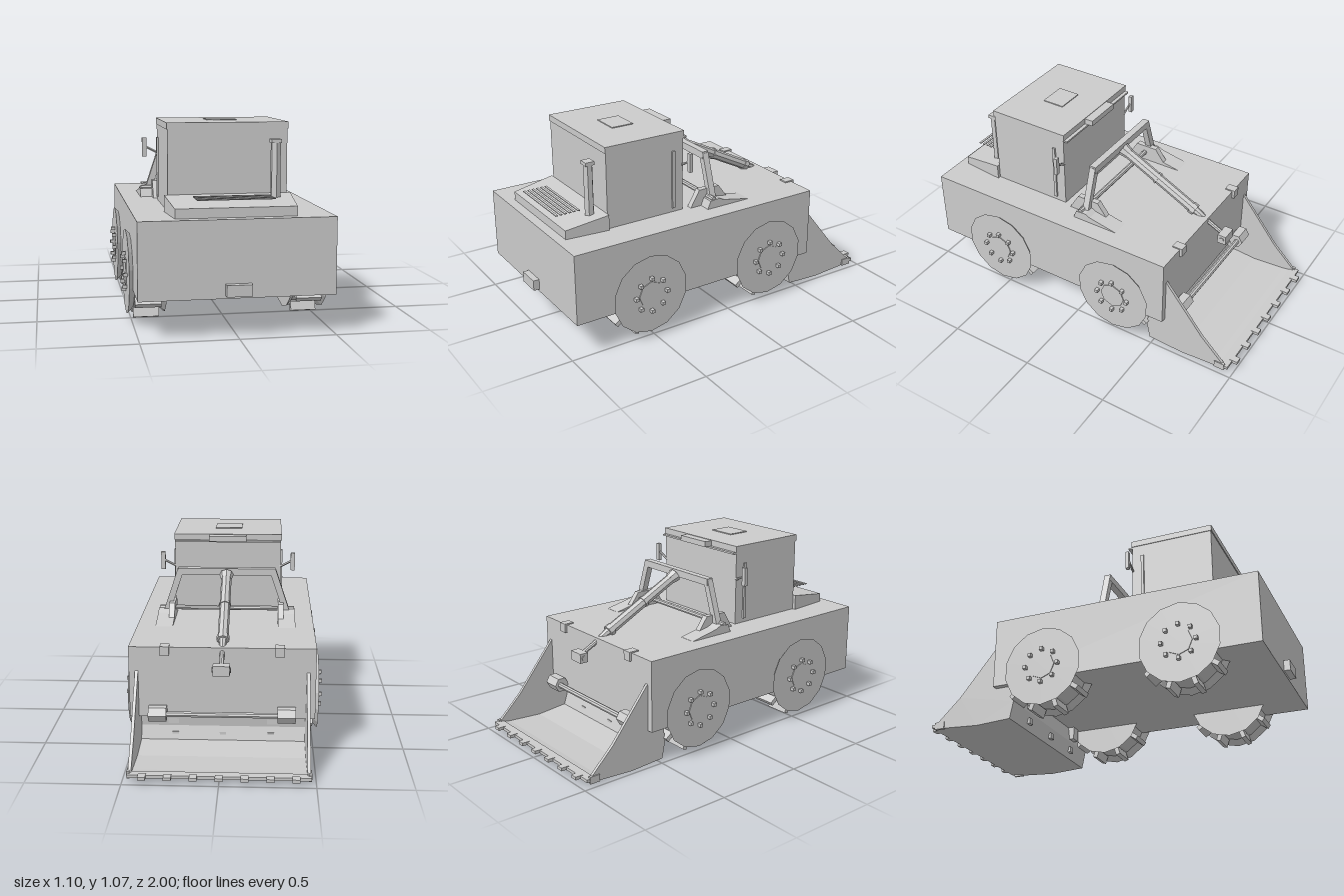
import * as THREE from 'three';

const paint = new THREE.MeshStandardMaterial({ color: 0xcccccc, flatShading: true });
paint.name = 'light grey';

export function createModel() {
  const model = new THREE.Group();
  model.name = 'bucketTractor';

  const add = (name, geometry, parent = model) => {
    const mesh = new THREE.Mesh(geometry, paint);
    mesh.name = name;
    parent.add(mesh);
    return mesh;
  };
  // box given by its limits on each axis
  const box = (name, x0, x1, y0, y1, z0, z1) => {
    const m = add(name, new THREE.BoxGeometry(x1 - x0, y1 - y0, z1 - z0));
    m.position.set((x0 + x1) / 2, (y0 + y1) / 2, (z0 + z1) / 2);
  };
  // same box on both sides, limits given for +x
  const pair = (name, x0, x1, ...rest) => {
    box(name + 'Left', x0, x1, ...rest);
    box(name + 'Right', -x1, -x0, ...rest);
  };
  // side profile of [z, y] points, extruded from x0 to x1
  const profile = (name, points, x0, x1) => {
    const shape = new THREE.Shape(points.map(p => new THREE.Vector2(...p)));
    const g = new THREE.ExtrudeGeometry(shape, { depth: x1 - x0, bevelEnabled: false });
    g.rotateY(-Math.PI / 2).translate(x1, 0, 0);
    add(name, g);
  };
  // rod between two points
  const rod = (name, a, b, r0, r1 = r0, sides = 8) => {
    const A = new THREE.Vector3(...a), B = new THREE.Vector3(...b), d = B.clone().sub(A);
    const m = add(name, new THREE.CylinderGeometry(r1, r0, d.length(), sides));
    m.position.copy(A).add(B).multiplyScalar(0.5);
    m.quaternion.setFromUnitVectors(new THREE.Vector3(0, 1, 0), d.normalize());
    return m;
  };

  // body
  box('body', -0.505, 0.505, 0.205, 0.605, -0.57, 0.965);
  box('rearHitch', -0.066, 0.066, 0.22, 0.28, 0.965, 1.0);
  pair('frontLamp', 0.285, 0.335, 0.56, 0.612, -0.585, -0.525);

  // cab
  box('cab', -0.316, 0.316, 0.605, 1.03, 0.19, 0.665);
  box('roof', -0.32, 0.32, 1.03, 1.065, 0.185, 0.67);
  box('roofHatch', -0.08, 0.08, 1.065, 1.07, 0.36, 0.49);
  box('visor', -0.315, 0.315, 1.02, 1.03, 0.165, 0.19);
  box('lightBar', -0.11, 0.11, 1.03, 1.062, 0.135, 0.187);
  pair('doorHandle', 0.315, 0.326, 0.63, 0.96, 0.245, 0.262);
  pair('mirror', 0.375, 0.4, 0.85, 0.955, 0.18, 0.2);
  for (const s of [1, -1]) rod('mirrorArm', [s * 0.31, 0.868, 0.193], [s * 0.38, 0.905, 0.193], 0.007, 0.007, 6);

  // sloping engine hood, wider toward the cab
  const hood = new THREE.BoxGeometry(2, 1, 1);
  const p = hood.attributes.position;
  for (let i = 0; i < p.count; i++) {
    const rear = p.getZ(i) > 0, top = p.getY(i) > 0;
    p.setXYZ(i, p.getX(i) * (rear ? 0.312 : 0.335), top ? (rear ? 0.655 : 0.692) : 0.605, rear ? 0.912 : 0.665);
  }
  add('engineHood', hood);
  for (let i = 0; i < 6; i++) {
    const z = 0.765 + i * 0.026;
    box('grilleSlat', -0.2, 0.2, 0.692, 0.697, z, z + 0.013);
  }
  rod('exhaust', [0.239, 0.66, 0.73], [0.239, 0.96, 0.73], 0.027, 0.027, 6);
  box('exhaustCap', 0.212, 0.266, 0.96, 0.98, 0.704, 0.756);

  // wheels: two flared rims around a lugged tread
  const wheel = (name, side, z) => {
    const g = new THREE.Group();
    g.name = name;
    const rim = [[0, 0.33], [0.225, 0.33], [0.195, 0.36], [0.195, 0.497], [0.227, 0.527], [0, 0.527]];
    add('tyre', new THREE.LatheGeometry(rim.map(q => new THREE.Vector2(...q)), 14), g);
    const hub = add('hub', new THREE.CylinderGeometry(0.075, 0.075, 0.01, 8), g);
    hub.position.y = 0.527;
    for (let i = 0; i < 10; i++) {
      const a = (i + 0.5) * Math.PI / 5;
      const lug = add('lug', new THREE.BoxGeometry(0.026, 0.137, 0.05), g);
      lug.position.set(Math.sin(a) * 0.222, 0.428, Math.cos(a) * 0.222);
      lug.rotation.y = a;
    }
    for (let i = 0; i < 8; i++) {
      const a = i * Math.PI / 4;
      const bolt = add('bolt', new THREE.BoxGeometry(0.019, 0.028, 0.019), g);
      bolt.position.set(Math.sin(a) * 0.097, 0.536, Math.cos(a) * 0.097);
    }
    // axle along x, lug gap at the bottom
    g.rotation.z = -side * Math.PI / 2;
    const mount = new THREE.Group();
    mount.name = name + 'Mount';
    mount.add(g);
    mount.rotation.x = Math.PI / 2;
    mount.position.set(0, 0.27, z);
    model.add(mount);
  };
  for (const s of [1, -1]) {
    wheel(s > 0 ? 'rearWheelLeft' : 'rearWheelRight', s, 0.53);
    wheel(s > 0 ? 'frontWheelLeft' : 'frontWheelRight', s, -0.26);
  }

  // bucket: bent floor shell between two side plates
  const outer = [[-0.5, 0.46], [-0.455, 0.115], [-0.475, 0.015], [-0.68, 0.004], [-0.88, 0.017], [-0.95, 0.03]];
  const inner = [[-0.95, 0.045], [-0.88, 0.034], [-0.68, 0.022], [-0.5, 0.04], [-0.475, 0.115], [-0.515, 0.46]];
  profile('bucketShell', [...outer, ...inner], -0.46, 0.46);
  const plate = [...outer, [-0.935, 0.055], [-0.8, 0.187], [-0.571, 0.47]];
  profile('bucketSideLeft', plate, 0.455, 0.472);
  profile('bucketSideRight', plate, -0.472, -0.455);
  box('cuttingEdge', -0.475, 0.475, 0.028, 0.045, -0.97, -0.92);
  pair('edgeCorner', 0.462, 0.478, 0.015, 0.055, -0.95, -0.89);
  for (let i = -3; i <= 3; i++) box('tooth', i * 0.132 - 0.02, i * 0.132 + 0.02, 0.03, 0.048, -1.0, -0.955);
  pair('bucketBracket', 0.245, 0.305, 0.13, 0.3, -0.48, -0.43);
  for (const x of [-0.265, 0, 0.265]) box('bucketRib', x - 0.018, x + 0.018, 0.05, 0.083, -0.49, -0.45);
  rod('bucketPivotBar', [-0.39, 0.24, -0.62], [0.39, 0.24, -0.62], 0.016);
  for (const s of [1, -1]) rod('pivotBoss', [s * 0.3, 0.24, -0.61], [s * 0.398, 0.24, -0.61], 0.045, 0.045, 6);

  // lift frame
  box('frameTopBar', -0.285, 0.285, 0.86, 0.9, 0, 0.04);
  for (const s of [1, -1]) {
    const leg = rod('frameLeg', [s * 0.355, 0.63, 0.02], [s * 0.27, 0.885, 0.02], 0.026, 0.026, 4);
    leg.rotateY(Math.PI / 4);
    const span = (a, b) => s > 0 ? [a, b] : [-b, -a];
    profile('frameFoot', [[0.08, 0.6], [0.06, 0.65], [0, 0.655], [-0.03, 0.64], [-0.2, 0.606], [-0.2, 0.6]], ...span(0.3, 0.4));
    profile('footGusset', [[0.15, 0.6], [0.09, 0.7], [-0.04, 0.7], [-0.115, 0.6]], ...span(0.3, 0.333));
  }
  rod('frameLowerBar', [-0.395, 0.655, 0.035], [0.395, 0.655, 0.035], 0.014);

  // tilt cylinder, running forward and down from the top bar
  const along = t => [0, 0.865 - 0.345 * t, -0.68 * t];
  rod('cylinderBase', along(0), along(0.06), 0.04, 0.031);
  rod('cylinderBarrel', along(0.02), along(0.7), 0.03);
  rod('cylinderCollar', along(0.33), along(0.35), 0.035);
  rod('cylinderEndCap', along(0.67), along(0.71), 0.035);
  rod('pistonRod', along(0.7), along(0.84), 0.024, 0.013);
  rod('pistonTip', along(0.82), along(1), 0.013);
  box('rodEye', -0.045, 0.045, 0.492, 0.546, -0.703, -0.652);
  rod('rodPin', [-0.05, 0.519, -0.678], [0.05, 0.519, -0.678], 0.015);

  return model;
}
